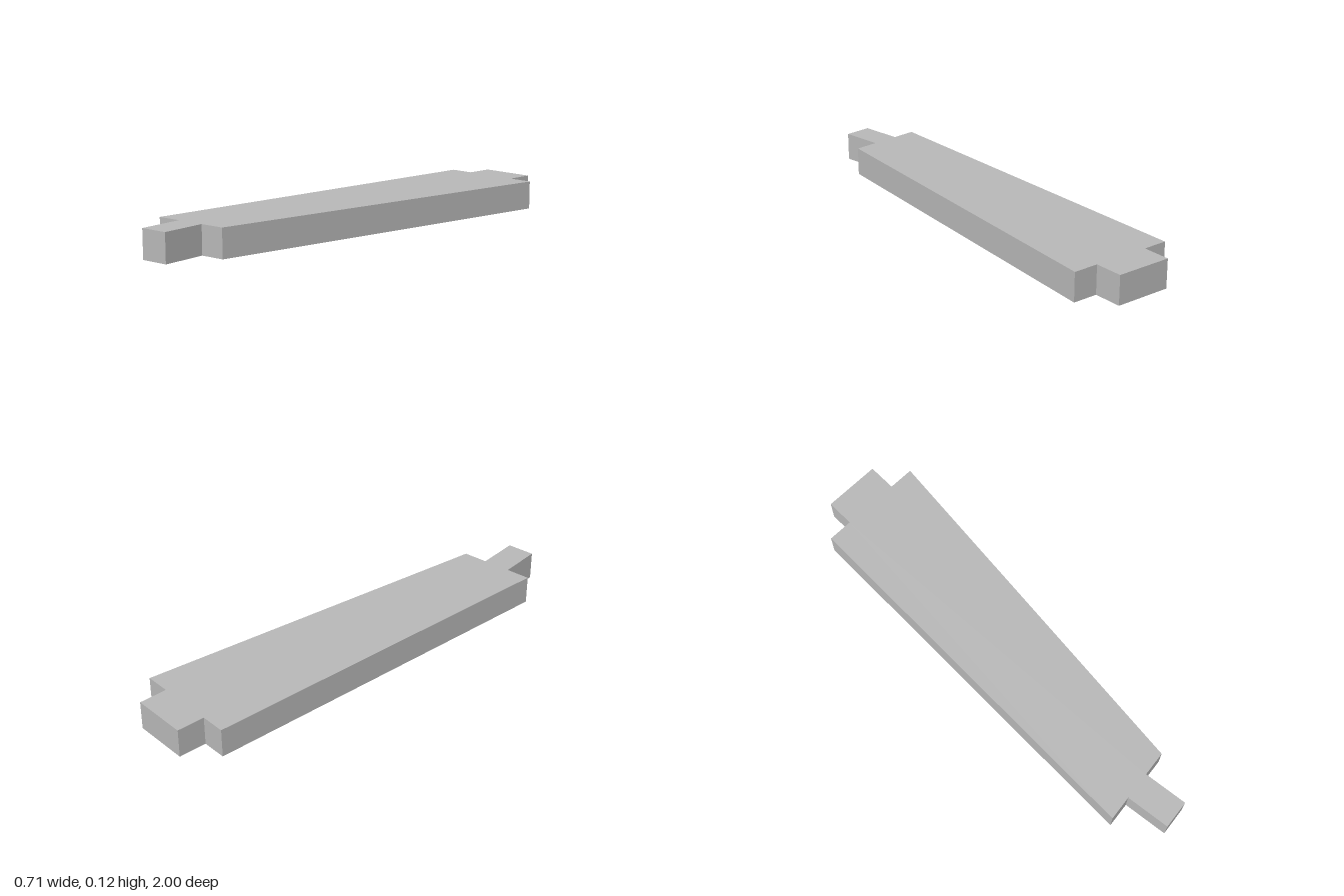
import * as THREE from 'three';

export function createModel() {
  const group = new THREE.Group();
  group.name = 'taperedPlank';
  const grey = new THREE.MeshStandardMaterial({ color: 0xb8b8b8 });
  grey.name = 'plain grey';

  // Plan outline as x, z pairs: tapered board with a tab at each end
  const outline = [
    [-0.357, 0.805], [-0.249, 0.805], [-0.249, 1], [-0.125, 1], // front tab
    [-0.125, 0.805], [-0.016, 0.805],
    [0.357, -0.828], [0.247, -0.843], [0.263, -0.966], [0.018, -1], // slanted back tab
    [0.001, -0.878], [-0.107, -0.893],
  ];
  const shape = new THREE.Shape(outline.map(([x, z]) => new THREE.Vector2(x, -z)));

  // Extrude upwards from the ground
  const geometry = new THREE.ExtrudeGeometry(shape, { depth: 0.125, bevelEnabled: false });
  geometry.rotateX(-Math.PI / 2);

  const board = new THREE.Mesh(geometry, grey);
  board.name = 'tabbedBoard';
  group.add(board);
  return group;
}
